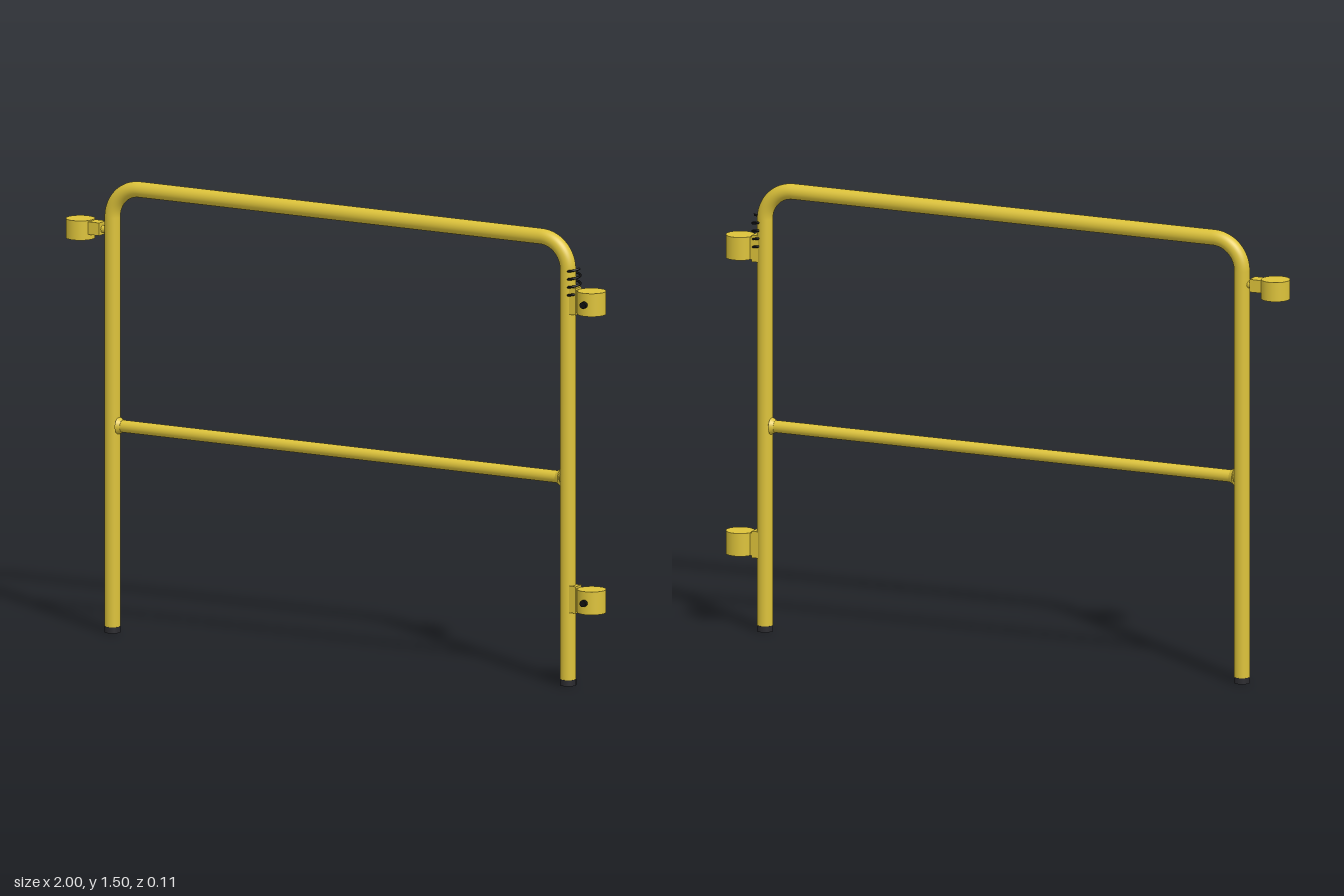
import * as THREE from 'three';

export function createModel() {
  const model = new THREE.Group();
  const mat = (name, color, side = THREE.FrontSide) =>
    Object.assign(new THREE.MeshStandardMaterial({ color, side }), { name });
  const yellow = mat('yellow paint', 0xdcc23a);
  const rubber = mat('dark rubber', 0x2a2a2e);
  const black = mat('black steel', 0x101010);

  const Z = -0.005, R = 0.0255, BEND = 0.1;
  const LEFT = 0.865, RIGHT = -0.833, TOP = 1.47;

  const add = (name, geo, material, x, y, z = Z, parent = model) => {
    const m = new THREE.Mesh(geo, material);
    m.name = name;
    m.position.set(x, y, z);
    parent.add(m);
    return m;
  };
  const cyl = (r, h, n = 32, open = false, r2 = r) => new THREE.CylinderGeometry(r, r2, h, n, 1, open);

  // Posts with rubber feet and rounded upper corners
  for (const [x, side] of [[LEFT, 1], [RIGHT, -1]]) {
    const h = TOP - BEND - 0.018;
    add('post', cyl(R, h, 32, true), yellow, x, 0.018 + h / 2);
    add('foot', cyl(R + 0.001, 0.02), rubber, x, 0.01);
    const bend = add('cornerBend', new THREE.TorusGeometry(BEND, R, 32, 24, Math.PI / 2), yellow, x - side * BEND, TOP - BEND);
    if (side < 0) bend.rotation.z = Math.PI / 2;

    // Weld collar where the middle rail meets the post
    const collar = add('weldCollar', cyl(0.021, 0.014, 32, false, 0.028), yellow, x - side * 0.031, 0.683);
    collar.rotation.z = side * Math.PI / 2;
  }

  // Horizontal rails
  const mid = (LEFT + RIGHT) / 2, span = LEFT - RIGHT;
  add('topRail', cyl(R, span - 2 * BEND, 32, true), yellow, mid, TOP).rotation.z = Math.PI / 2;
  add('middleRail', cyl(0.02, span - 0.04, 32, true), yellow, mid, 0.683).rotation.z = Math.PI / 2;

  // Two couplers on the left post, each with a saddle plate and a locking bolt
  for (const y of [1.271, 0.287]) {
    const coupler = new THREE.Group();
    coupler.name = 'leftCoupler';
    coupler.position.set(0.953, y, Z);
    model.add(coupler);
    add('socket', cyl(0.047, 0.076, 40), yellow, 0, 0, 0, coupler);
    add('saddlePlate', new THREE.BoxGeometry(0.026, 0.088, 0.04), yellow, -0.062, 0, 0, coupler);
    add('neck', new THREE.BoxGeometry(0.045, 0.074, 0.036), yellow, -0.045, 0, 0, coupler);
    add('bolt', cyl(0.011, 0.03, 16), black, 0, 0, 0.045, coupler).rotation.x = Math.PI / 2;
  }

  // Single coupler on the right post
  const hook = new THREE.Group();
  hook.name = 'rightCoupler';
  hook.position.set(-0.953, 1.321, Z);
  model.add(hook);
  add('socket', cyl(0.047, 0.064, 40), yellow, 0, 0, 0, hook);
  add('neck', new THREE.BoxGeometry(0.063, 0.042, 0.044), yellow, 0.0515, 0.007, 0, hook);
  add('pin', cyl(0.012, 0.03, 20), yellow, 0.093, 0.005, 0, hook).rotation.z = Math.PI / 2;

  // Coil spring beside the left post
  class Helix extends THREE.Curve {
    getPoint(t, target = new THREE.Vector3()) {
      const a = t * Math.PI * 2 * 4;
      return target.set(0.021 * Math.cos(a), 0.105 * (t - 0.5), -0.023 * Math.sin(a));
    }
  }
  add('spring', new THREE.TubeGeometry(new Helix(), 128, 0.004, 8), black, 0.886, 1.325);

  return model;
}
